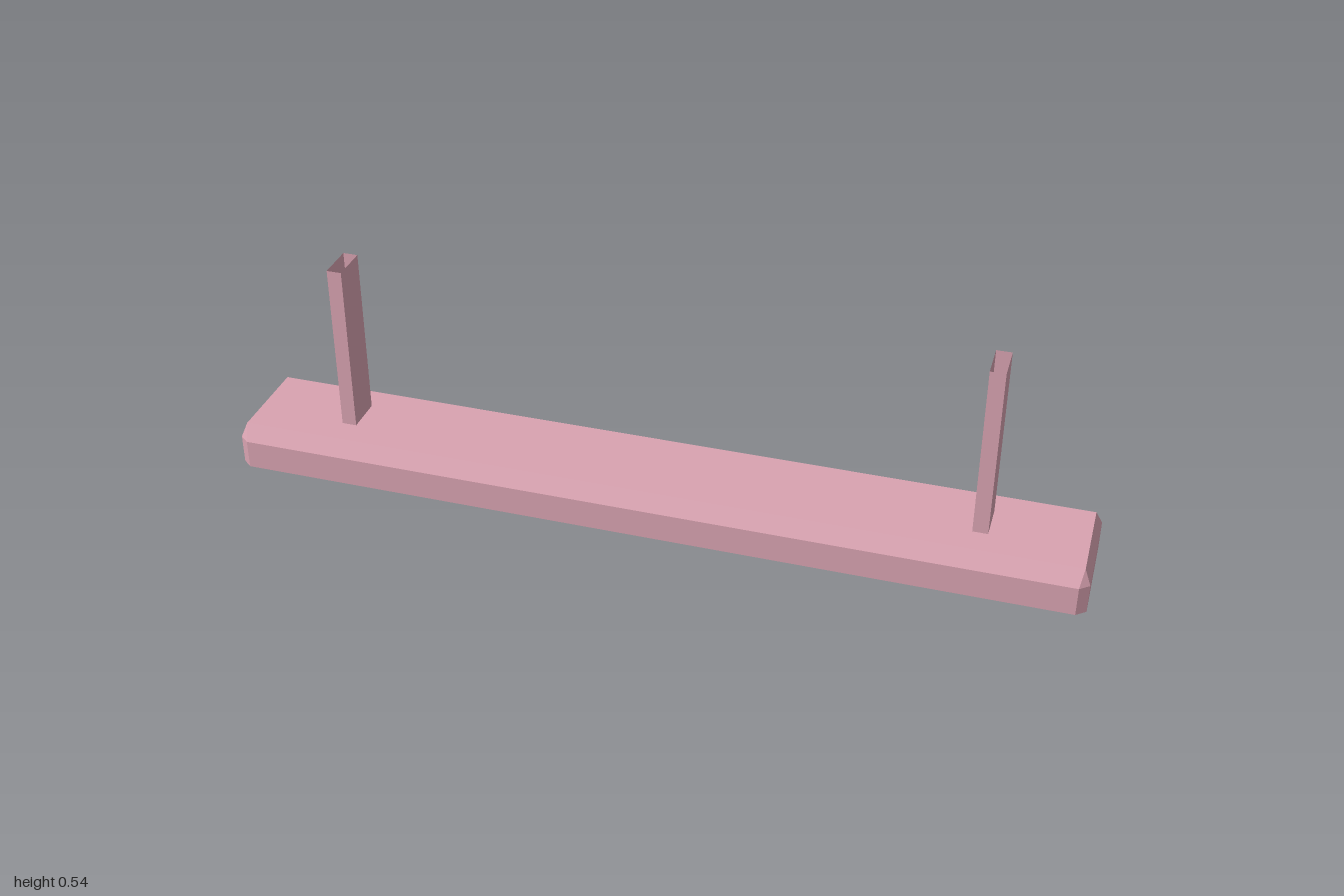
import * as THREE from 'three';

const PINK = 0xd9a3b1;

// Chamfered rectangle at height y: half length hx, z range z0..z1, corner cuts cx, cz
function ring(y, hx, z0, z1, cx = 0, cz = 0) {
  return [
    [hx, z0 + cz], [hx, z1 - cz], [hx - cx, z1], [-hx + cx, z1],
    [-hx, z1 - cz], [-hx, z0 + cz], [-hx + cx, z0], [hx - cx, z0],
  ].map(([x, z]) => new THREE.Vector3(x, y, z));
}

// Skin consecutive rings with flat faces, dropping collapsed triangles
function loft(rings) {
  const pts = [];
  const tri = (a, b, c) => {
    if (new THREE.Triangle(a, b, c).getArea() > 1e-9) pts.push(a, b, c);
  };
  for (let r = 0; r < rings.length - 1; r++) {
    const a = rings[r], b = rings[r + 1];
    for (let i = 0; i < a.length; i++) {
      const j = (i + 1) % a.length;
      tri(a[i], a[j], b[j]);
      tri(a[i], b[j], b[i]);
    }
  }
  const geo = new THREE.BufferGeometry().setFromPoints(pts);
  geo.computeVertexNormals();
  return geo;
}

export function createModel() {
  const group = new THREE.Group();
  const flat = new THREE.MeshStandardMaterial({ color: PINK, flatShading: true, side: THREE.DoubleSide });
  const smooth = new THREE.MeshStandardMaterial({ color: PINK });
  const add = (name, geo, mat, x = 0, y = 0, z = 0) => {
    const mesh = new THREE.Mesh(geo, mat);
    mesh.name = name;
    mesh.position.set(x, y, z);
    group.add(mesh);
    return mesh;
  };

  // Housing: bevelled top, upright sides, bottom rim and hollow underside
  add('housing', loft([
    ring(0.132, 0, 0, 0),
    ring(0.132, 0.985, -0.103, 0.113),
    ring(0.095, 1, -0.138, 0.138, 0.022, 0.018),
    ring(0.025, 1, -0.138, 0.138, 0.022, 0.018),
    ring(0.025, 0.97, -0.112, 0.112, 0.018, 0.015),
    ring(0.095, 0.97, -0.112, 0.112, 0.018, 0.015),
    ring(0.095, 0, 0, 0),
  ]), flat);

  // Hanging posts: four thin walls, open at the ends
  for (const s of [-1, 1]) {
    add('hangingPost', loft([
      ring(0.542, 0.0175, -0.045, 0.045),
      ring(0.132, 0.0175, -0.045, 0.045),
    ]), flat, s * 0.75, 0, 0.003);
  }

  // Two lamp tubes with a socket at each end
  for (const side of [-1, 1]) {
    const z = side * 0.045;
    const tube = add('lampTube', new THREE.CylinderGeometry(0.028, 0.028, 1.8, 24), smooth, 0, 0.056, z);
    tube.rotation.z = Math.PI / 2;
    for (const end of [-1, 1]) {
      add('lampSocket', new THREE.BoxGeometry(0.044, 0.095, 0.07), flat, end * 0.917, 0.0475, z);
    }
  }
  return group;
}
